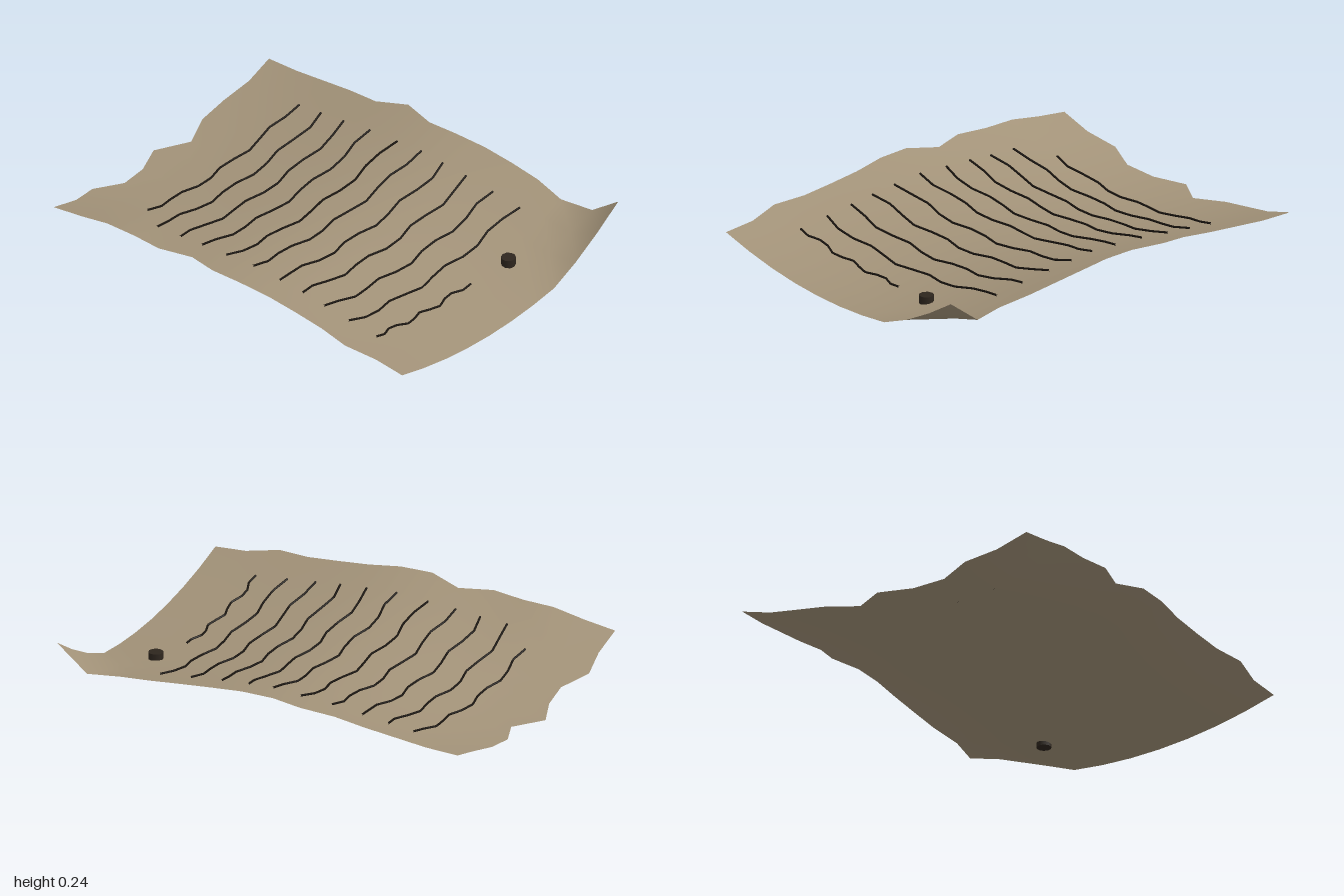
import * as THREE from 'three';

const paper = new THREE.MeshStandardMaterial({ color: 0xa39379, side: THREE.DoubleSide });
paper.name = 'aged parchment';
const ink = new THREE.MeshStandardMaterial({ color: 0x1a1510 });
ink.name = 'black ink';
const wax = new THREE.MeshStandardMaterial({ color: 0x2e261e });
wax.name = 'dark wax';

const COLS = 10, ROWS = 13;

// Height along the centre line, as [z, y] stations
const spine = [[-1, 0.012], [-0.8, 0.019], [-0.5, 0.05], [-0.25, 0.08], [0.04, 0.098], [0.3, 0.078], [0.7, 0.034], [1, 0.005]];

function spineHeight(z) {
  let i = 0;
  while (i < spine.length - 2 && z > spine[i + 1][0]) i++;
  const [z0, y0] = spine[i], [z1, y1] = spine[i + 1];
  return y0 + (y1 - y0) * (z - z0) / (z1 - z0);
}

// Sagging sheet with a raised back-left edge and a curled front corner
function height(x, z) {
  let y = spineHeight(z) + 0.21 * x * x;
  if (x < 0) y += 0.06 * x * x * Math.exp(-(((z + 0.65) / 0.22) ** 2));
  const across = Math.max(0, (x - 0.29) / 0.435);
  return y + 0.13 * across ** 1.2 * Math.max(0, (z - 0.85) / 0.15);
}

// Torn edges: z of the back edge by column, x of each side by row
const backEdge = [-0.95, -0.95, -0.98, -0.92, -0.94, -1, -0.91, -0.97, -0.97, -0.95, -0.955];
const minusEdge = [-0.735, -0.735, -0.735, -0.735, -0.75, -0.705, -0.75, -0.745, -0.73, -0.73, -0.735, -0.76, -0.73, -0.735];
const plusEdge = [0.725, 0.725, 0.725, 0.725, 0.715, 0.755, 0.715, 0.72, 0.73, 0.73, 0.725, 0.7, 0.73, 0.725];

function makeSheet() {
  const geometry = new THREE.PlaneGeometry(1.46, 1.95, COLS, ROWS);
  geometry.rotateX(-Math.PI / 2).translate(0, 0, 0.025);
  const p = geometry.attributes.position;
  for (let i = 0; i < p.count; i++) {
    const col = i % (COLS + 1), row = Math.floor(i / (COLS + 1));
    let x = p.getX(i), z = p.getZ(i);
    if (row === 0) z = backEdge[col];
    if (col === 0) x = minusEdge[row];
    if (col === COLS) x = plusEdge[row];
    p.setXYZ(i, x, height(x, z), z);
  }
  geometry.computeVertexNormals();
  const mesh = new THREE.Mesh(geometry, paper);
  mesh.name = 'sheet';
  return mesh;
}

// One wavering line of script lying on the sheet
function makeScriptLine(row) {
  const start = row === 0 ? -0.455 : -0.57;
  const end = row === 10 ? 0.07 : 0.56;
  const path = new THREE.CurvePath();
  let previous = null;
  for (let i = 0; i <= 12; i++) {
    const x = start + (end - start) * i / 12;
    const z = -0.66 + row * 0.137 + 0.014 * Math.sin(i * 1.75 + row * 1.3);
    const point = new THREE.Vector3(x, height(x, z) + 0.006, z);
    if (previous) path.add(new THREE.LineCurve3(previous, point));
    previous = point;
  }
  const mesh = new THREE.Mesh(new THREE.TubeGeometry(path, 48, 0.005, 5), ink);
  mesh.name = 'scriptLine' + (row + 1);
  return mesh;
}

export function createModel() {
  const model = new THREE.Group();
  model.name = 'parchment';
  model.add(makeSheet());

  const script = new THREE.Group();
  script.name = 'script';
  for (let row = 0; row < 11; row++) script.add(makeScriptLine(row));
  model.add(script);

  // Wax blob pressed through the sheet
  const seal = new THREE.Mesh(new THREE.CylinderGeometry(0.033, 0.033, 0.05, 10), wax);
  seal.name = 'waxSeal';
  seal.position.set(0.285, 0.055, 0.75);
  model.add(seal);
  return model;
}
